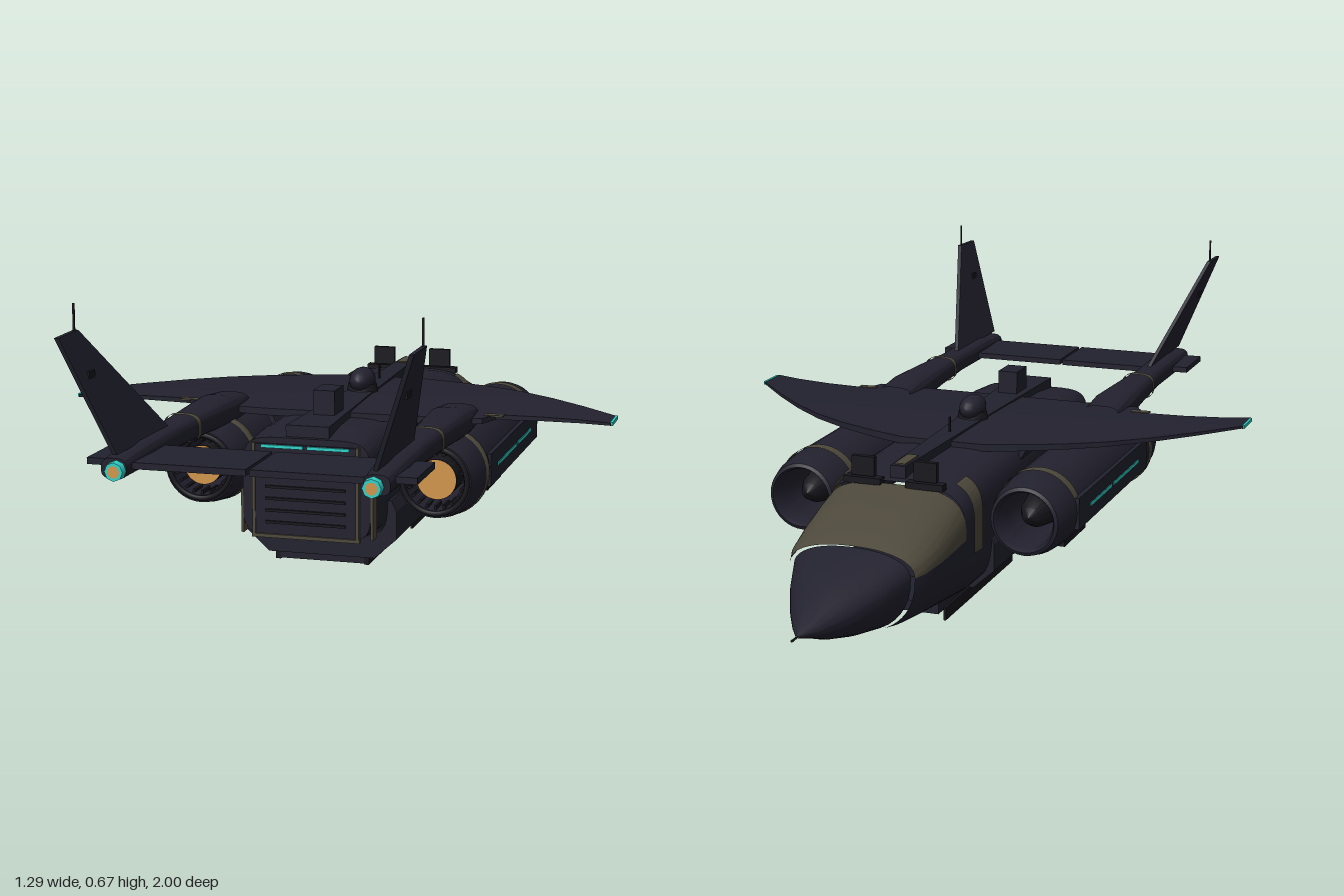
import * as THREE from 'three';
import { toCreasedNormals } from 'three/addons/utils/BufferGeometryUtils.js';

const paint = (name, color, side = THREE.FrontSide) => {
  const m = new THREE.MeshStandardMaterial({ color, side });
  m.name = name;
  return m;
};

// Skin from cross-sections [z, halfWidth, widestY, topY, bottomY, squareness]; angle 0 is +x, PI/2 is up.
function loft(sections, a0 = 0, a1 = Math.PI * 2, grow = 0, cap = false) {
  const n = 40, pos = [], idx = [];
  for (const [z, hw, yc, top, bot, e] of sections) {
    for (let j = 0; j <= n; j++) {
      const t = a0 + (a1 - a0) * j / n, c = Math.cos(t), s = Math.sin(t);
      const p = v => Math.sign(v) * Math.abs(v) ** (2 / e);
      pos.push((hw + grow) * p(c), yc + (s > 0 ? top - yc + grow : yc - bot + grow) * p(s), z);
    }
  }
  const w = n + 1, last = sections.length - 1;
  for (let i = 0; i < last; i++) for (let j = 0; j < n; j++) {
    const a = i * w + j, c = a + w;
    idx.push(a, a + 1, c, a + 1, c + 1, c);
  }
  if (cap) {
    const k = pos.length / 3;
    pos.push(0, sections[last][2], sections[last][0]);
    for (let j = 0; j < n; j++) idx.push(k, last * w + j, last * w + j + 1);
  }
  const g = new THREE.BufferGeometry();
  g.setAttribute('position', new THREE.Float32BufferAttribute(pos, 3));
  g.setIndex(idx);
  g.computeVertexNormals();
  return toCreasedNormals(g, 0.6);
}

// Turned part along z, from [radius, z] pairs.
const turned = (pts, seg = 36) => toCreasedNormals(
  new THREE.LatheGeometry(pts.map(p => new THREE.Vector2(...p)), seg).rotateX(Math.PI / 2), 0.6);

export function createModel() {
  const model = new THREE.Group();
  const hull = paint('hull navy', 0x22212e);
  const dark = paint('dark metal', 0x17171d);
  const khaki = paint('khaki trim', 0x4d483b, THREE.DoubleSide);
  const cyan = paint('cyan light', 0x2fd3c9);
  const orange = paint('engine orange', 0xd2964c);

  const add = (name, geo, mat, x = 0, y = 0, z = 0, parent = model) => {
    const m = new THREE.Mesh(geo, mat);
    m.name = name;
    m.position.set(x, y, z);
    parent.add(m);
    return m;
  };
  const box = (name, mat, w, h, d, x, y, z, parent) =>
    add(name, new THREE.BoxGeometry(w, h, d), mat, x, y, z, parent);

  // Fuselage
  const noseRings = [
    [-0.975, 0.003, 0.13, 0.133, 0.127, 2], [-0.93, 0.032, 0.13, 0.152, 0.112, 2],
    [-0.87, 0.066, 0.138, 0.18, 0.088, 2], [-0.79, 0.104, 0.158, 0.21, 0.066, 2.1],
    [-0.7, 0.137, 0.182, 0.238, 0.05, 2.2]];
  const cabinRings = [
    [-0.7, 0.146, 0.184, 0.24, 0.05, 2.3], [-0.67, 0.158, 0.186, 0.252, 0.046, 2.4],
    [-0.6, 0.167, 0.19, 0.277, 0.042, 2.6], [-0.52, 0.171, 0.196, 0.3, 0.038, 2.9],
    [-0.46, 0.172, 0.2, 0.312, 0.035, 3.2]];
  const bodyRings = [
    [-0.46, 0.172, 0.2, 0.318, 0.035, 3.2], [-0.38, 0.172, 0.2, 0.328, 0.035, 4],
    [0.1, 0.168, 0.18, 0.332, 0.035, 4.5], [0.37, 0.158, 0.18, 0.332, 0.04, 5],
    [0.39, 0.156, 0.2, 0.332, 0.085, 5], [0.5, 0.148, 0.2, 0.322, 0.095, 6]];
  add('noseCone', loft(noseRings), hull);
  add('pitotProbe', new THREE.CylinderGeometry(0.002, 0.003, 0.03, 6).rotateX(Math.PI / 2), dark, 0, 0.13, -0.985);
  add('canopy', loft(cabinRings, 0, Math.PI), khaki);
  add('cockpitBelly', loft(cabinRings, Math.PI, Math.PI * 2), hull);
  add('fuselage', loft(bodyRings, 0, Math.PI * 2, 0, true), hull);
  const frame = [[-0.42, 0.172, 0.2, 0.324, 0.035, 3.7], [-0.365, 0.172, 0.2, 0.328, 0.035, 4]];
  add('doorFrameLeft', loft(frame, -0.08, 0.95, 0.004), khaki);
  add('doorFrameRight', loft(frame, Math.PI - 0.95, Math.PI + 0.08, 0.004), khaki);

  // Lower side bulges, keel and skids
  const half = [[0.165, 0.165], [0.177, 0.14], [0.177, 0.075], [0.125, 0.028]];
  const bulge = new THREE.Shape([...half, ...half.slice().reverse().map(([x, y]) => [-x, y])]
    .map(p => new THREE.Vector2(...p)));
  add('sponson', new THREE.ExtrudeGeometry(bulge, { depth: 0.68, bevelEnabled: false }), hull, 0, 0, -0.295);
  box('keelPlate', hull, 0.2, 0.025, 0.83, 0, 0.025, -0.035);
  box('bellyHatch', khaki, 0.06, 0.004, 0.06, 0, 0.011, 0);
  for (const s of [1, -1]) {
    box('skid', dark, 0.006, 0.03, 0.45, s * 0.115, 0.015, -0.225);
    box('rearSkid', dark, 0.012, 0.022, 0.38, s * 0.105, 0.021, 0.19);
  }

  // Rear cargo ramp
  box('cargoRamp', hull, 0.236, 0.205, 0.012, 0, 0.205, 0.501);
  for (let i = 0; i < 6; i++) box('rampRib', dark, 0.185, 0.006, 0.006, 0, 0.13 + i * 0.027, 0.509);
  box('rampSill', khaki, 0.25, 0.008, 0.014, 0, 0.098, 0.503);
  for (const s of [1, -1]) {
    box('rampFrame', khaki, 0.007, 0.21, 0.014, s * 0.12, 0.204, 0.503);
    box('rampLight', cyan, 0.097, 0.007, 0.008, s * 0.053, 0.303, 0.508);
    box('rampHinge', khaki, 0.006, 0.1, 0.035, s * 0.15, 0.15, 0.482);
  }

  // Wing: one plate across the body, thinner and slightly raised at the tips
  const edge = [[0.1, -0.18], [0.18, -0.155], [0.28, -0.115], [0.37, -0.065], [0.46, 0.005], [0.55, 0.09],
    [0.64, 0.185], [0.64, 0.27], [0.57, 0.25], [0.48, 0.236], [0.37, 0.232], [0.35, 0.285], [0.16, 0.29]];
  const wingShape = new THREE.Shape([...edge, ...edge.slice().reverse().map(([x, z]) => [-x, z])]
    .map(p => new THREE.Vector2(...p)));
  const wing = new THREE.ExtrudeGeometry(wingShape, { depth: 1, bevelEnabled: false }).rotateX(Math.PI / 2);
  const wp = wing.attributes.position;
  for (let i = 0; i < wp.count; i++) {
    const k = Math.abs(wp.getX(i)) / 0.64;
    wp.setY(i, 0.341 + 0.006 * k + wp.getY(i) * (0.02 - 0.014 * k));
  }
  wing.computeVertexNormals();
  add('wing', wing, hull);

  // Dorsal spine, turret and roof fittings
  const spine = new THREE.Shape([[-0.018, -0.44], [0.018, -0.44], [0.034, 0.1], [0.05, 0.49], [-0.05, 0.49], [-0.034, 0.1]]
    .map(p => new THREE.Vector2(...p)));
  add('dorsalSpine', new THREE.ExtrudeGeometry(spine, { depth: 0.03, bevelEnabled: false }).rotateX(Math.PI / 2), hull, 0, 0.349, 0);
  box('spineHatch', khaki, 0.026, 0.004, 0.08, 0, 0.35, -0.39);
  add('turretBase', new THREE.CylinderGeometry(0.034, 0.038, 0.02, 20), dark, 0, 0.355, 0.035);
  const dome = add('turretDome', new THREE.SphereGeometry(0.03, 20, 12), hull, 0, 0.373, 0.035);
  dome.scale.z = 1.7;
  box('roofHousing', hull, 0.05, 0.065, 0.075, 0, 0.373, 0.325);
  box('roofAntenna', dark, 0.004, 0.04, 0.006, 0, 0.365, -0.12);

  for (const s of [1, -1]) {
    const sideName = s > 0 ? 'left' : 'right';
    box('canopyHinge', dark, 0.09, 0.015, 0.025, s * 0.075, 0.316, -0.46);
    box('roofBlock', dark, 0.055, 0.045, 0.014, s * 0.075, 0.348, -0.458);
    box('wingTipLight', cyan, 0.006, 0.008, 0.08, s * 0.641, 0.344, 0.225);
    box('wingHatch', khaki, 0.05, 0.003, 0.05, s * 0.45, 0.33, 0.13);
    box('flapHinge', khaki, 0.045, 0.004, 0.02, s * 0.368, 0.344, 0.24);
    const strut = box('engineStrut', hull, 0.012, 0.09, 0.3, s * 0.165, 0.3, 0.08);
    strut.rotation.z = -s * 0.5;

    // Engine: hollow nacelle around a core
    const engine = new THREE.Group();
    engine.name = sideName + 'Engine';
    engine.position.set(s * 0.275, 0.227, 0);
    model.add(engine);
    add('nacelle', turned([[0.066, -0.36], [0.072, -0.372], [0.08, -0.368], [0.089, -0.33], [0.094, -0.27],
      [0.096, 0], [0.096, 0.29], [0.098, 0.34], [0.092, 0.39], [0.083, 0.43], [0.067, 0.43], [0.065, 0.3],
      [0.065, -0.3], [0.066, -0.36]]), hull, 0, 0, 0, engine);
    add('engineCore', turned([[0, -0.34], [0.02, -0.325], [0.035, -0.29], [0.046, -0.22], [0.046, 0.41], [0, 0.41]]), dark, 0, 0, 0, engine);
    add('exhaustGlow', new THREE.CircleGeometry(0.045, 32), orange, 0, 0, 0.412, engine);
    add('nozzleRing', new THREE.TorusGeometry(0.074, 0.006, 8, 36), dark, 0, 0, 0.43, engine);
    for (let i = 0; i < 20; i++) {
      const a = i / 20 * Math.PI * 2;
      const vane = box('nozzleVane', dark, 0.009, 0.006, 0.05, Math.cos(a) * 0.0625, Math.sin(a) * 0.0625, 0.395, engine);
      vane.rotation.z = a;
    }
    for (let i = 0; i < 4; i++) {
      const a = (i + 0.5) * Math.PI / 2;
      const brace = box('coreBrace', dark, 0.026, 0.004, 0.06, Math.cos(a) * 0.055, Math.sin(a) * 0.055, 0, engine);
      brace.rotation.z = a;
    }
    add('rearBand', turned([[0.099, 0.305], [0.101, 0.315], [0.101, 0.33], [0.098, 0.335]]), khaki, 0, 0, 0, engine);
    add('frontBand', new THREE.CylinderGeometry(0.0965, 0.0965, 0.03, 24, 1, true, Math.PI / 2 + 0.4, Math.PI - 0.8)
      .rotateY(0).rotateX(Math.PI / 2), khaki, 0, 0, -0.265, engine);
    box('sideFairing', hull, 0.02, 0.075, 0.56, s * 0.088, 0, 0.01, engine);
    box('sideLightRear', cyan, 0.006, 0.008, 0.21, s * 0.097, -0.001, 0.105, engine);
    box('sideLightFront', cyan, 0.006, 0.008, 0.165, s * 0.097, -0.001, -0.1, engine);
    box('underPod', dark, 0.058, 0.035, 0.16, 0, -0.102, -0.08, engine);

    // Tail boom
    const boomRings = [[0.2, 0.045, 0.335, 0.36, 0.3, 3], [0.3, 0.05, 0.335, 0.37, 0.3, 3],
      [0.45, 0.042, 0.337, 0.368, 0.308, 3], [0.62, 0.033, 0.338, 0.365, 0.312, 3],
      [0.8, 0.035, 0.338, 0.366, 0.312, 3], [0.93, 0.028, 0.332, 0.355, 0.312, 3]];
    add(sideName + 'Boom', loft(boomRings, 0, Math.PI * 2, 0, true), hull, s * 0.278);
    add('boomBand', loft([[0.52, 0.039, 0.337, 0.367, 0.309, 3], [0.54, 0.038, 0.337, 0.367, 0.31, 3]], 0, Math.PI * 2, 0.003), khaki, s * 0.278);
    add('tailLightRing', new THREE.CylinderGeometry(0.02, 0.022, 0.025, 8).rotateX(Math.PI / 2), cyan, s * 0.272, 0.33, 0.935);
    add('tailLight', new THREE.CircleGeometry(0.013, 12), orange, s * 0.272, 0.33, 0.9485);

    // Tailplane and canted fin
    box('tailplane', hull, 0.262, 0.014, 0.175, s * 0.135, 0.335, 0.815);
    box('tailplaneStub', hull, 0.06, 0.014, 0.15, s * 0.322, 0.338, 0.82);
    const fin = new THREE.ExtrudeGeometry(new THREE.Shape([[0.635, 0.362], [0.93, 0.362], [1, 0.61], [0.9, 0.612]]
      .map(p => new THREE.Vector2(...p))), { depth: 0.01, bevelEnabled: false }).rotateY(-Math.PI / 2);
    const fp = fin.attributes.position;
    for (let i = 0; i < fp.count; i++) fp.setX(i, fp.getX(i) + 0.005 + s * (0.275 + (fp.getY(i) - 0.362) * 0.365));
    fin.computeVertexNormals();
    add(sideName + 'Fin', fin, hull);
    box('finFitting', dark, 0.014, 0.022, 0.03, s * 0.333, 0.52, 0.915);
    box('finAntenna', dark, 0.004, 0.06, 0.004, s * 0.366, 0.638, 0.91);
  }
  return model;
}
